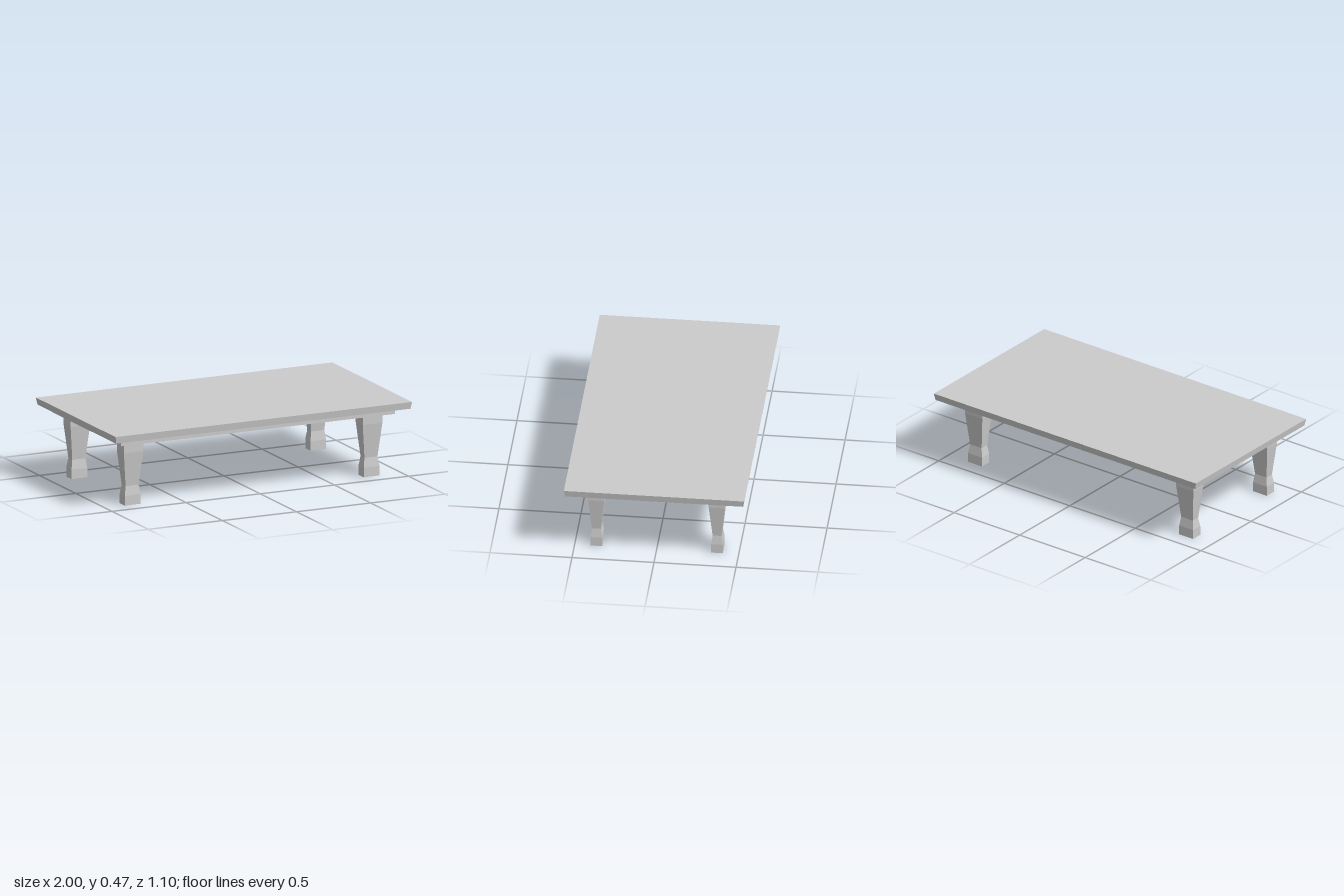
import * as THREE from 'three';

const material = new THREE.MeshStandardMaterial({
  color: 0xcccccc, flatShading: true, side: THREE.DoubleSide,
});

// Four-sided open shell through rectangular rings, each [y, halfX, halfZ], in order along the shell
function rectLoft(name, rings) {
  const steps = rings.length - 1;
  const geometry = new THREE.CylinderGeometry(Math.SQRT2, Math.SQRT2, steps, 4, steps, true);
  geometry.rotateY(Math.PI / 4).translate(0, steps / 2, 0);
  const p = geometry.attributes.position;
  for (let i = 0; i < p.count; i++) {
    const [y, hx, hz] = rings[Math.round(p.getY(i))];
    p.setXYZ(i, p.getX(i) * hx, y, p.getZ(i) * hz);
  }
  geometry.computeVertexNormals();
  const mesh = new THREE.Mesh(geometry, material);
  mesh.name = name;
  return mesh;
}

export function createModel() {
  const table = new THREE.Group();
  table.name = 'lowTable';

  // Hollow top: underside of the overhang, slanted edge, then the flat surface
  table.add(rectLoft('tableTop', [
    [0.432, 0.923, 0.474],
    [0.432, 0.992, 0.543],
    [0.475, 1, 0.55],
    [0.475, 0, 0],
  ]));

  // Thin apron frame, open underneath
  const apron = rectLoft('apron', [[0.392, 0.923, 0.474], [0.432, 0.923, 0.474]]);
  apron.position.x = -0.002;
  table.add(apron);

  // Tapered legs with a flared foot, open at the floor
  const legRings = [
    [0, 0.053, 0.036],
    [0.06, 0.053, 0.036],
    [0.118, 0.044, 0.027],
    [0.33, 0.066, 0.049],
    [0.392, 0.066, 0.049],
  ];
  for (const [side, x] of [['Right', -0.813], ['Left', 0.798]]) {
    for (const [end, z] of [['front', 0.368], ['back', -0.367]]) {
      const leg = rectLoft(`${end}${side}Leg`, legRings);
      leg.position.set(x, 0, z);
      table.add(leg);
    }
  }
  return table;
}
